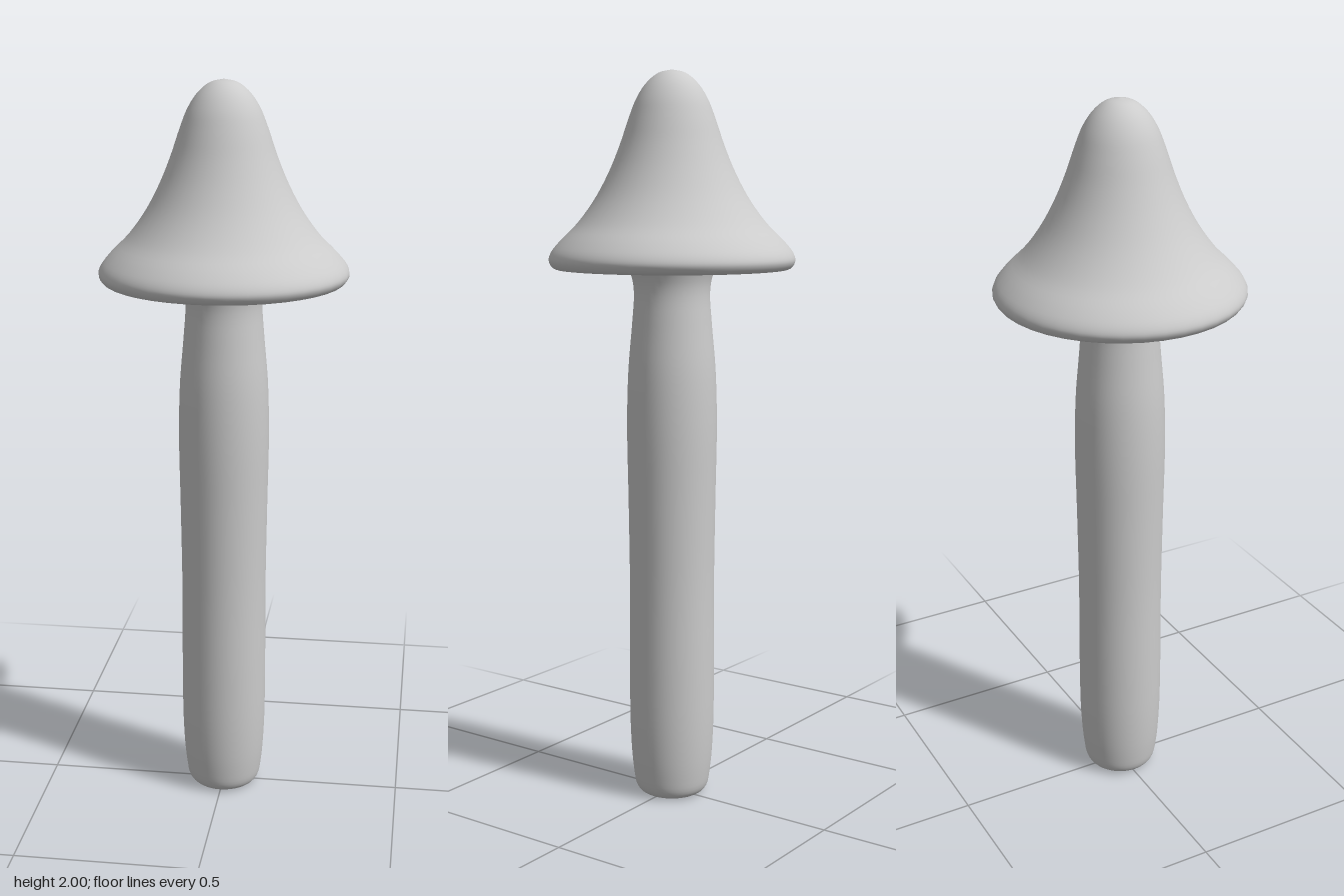
import * as THREE from 'three';

const SEGMENTS = 40;

// Smooth surface of revolution through a few [radius, height] points, listed bottom to top
function lathe(name, points, steps, material) {
  const curve = new THREE.CatmullRomCurve3(points.map(([r, y]) => new THREE.Vector3(r, y, 0)), false, 'centripetal');
  const profile = curve.getPoints(steps).map((p) => new THREE.Vector2(Math.max(p.x, 0), p.y));
  const mesh = new THREE.Mesh(new THREE.LatheGeometry(profile, SEGMENTS), material);
  mesh.name = name;
  return mesh;
}

export function createModel() {
  const group = new THREE.Group();
  group.name = 'mushroom';
  const material = new THREE.MeshStandardMaterial({ color: 0xcccccc, side: THREE.DoubleSide });

  // Stem: rounded foot, slightly uneven shaft, narrow neck flaring into the cap
  const stem = lathe('stem', [
    [0, 0.008], [0.05, 0.006], [0.08, 0.006], [0.098, 0.022], [0.108, 0.07], [0.116, 0.18],
    [0.118, 0.35], [0.117, 0.6], [0.12, 0.85], [0.123, 1.05], [0.119, 1.2],
    [0.108, 1.33], [0.103, 1.41], [0.108, 1.45], [0.122, 1.485], [0.15, 1.502],
  ], 64, material);

  // Gently hollow underside, rounded rim and bell-shaped top
  const cap = lathe('cap', [
    [0.15, 1.502], [0.19, 1.506], [0.235, 1.498], [0.275, 1.481], [0.305, 1.475], [0.321, 1.48],
    [0.332, 1.498], [0.327, 1.518], [0.302, 1.55], [0.255, 1.597], [0.206, 1.664],
    [0.168, 1.735], [0.139, 1.805], [0.115, 1.875], [0.094, 1.927], [0.067, 1.967],
    [0.035, 1.992], [0, 2],
  ], 64, material);

  group.add(stem, cap);
  return group;
}
